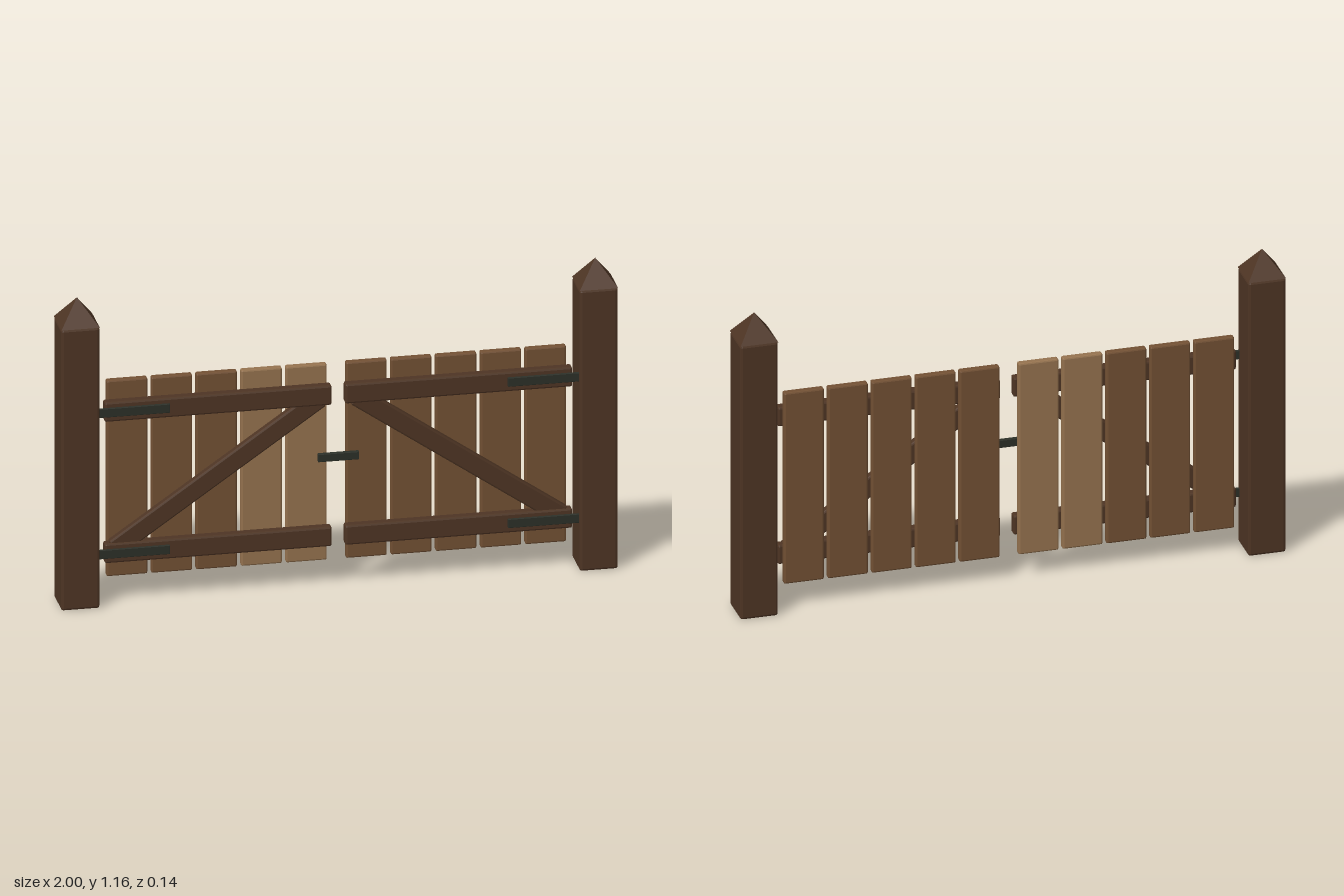
import * as THREE from 'three';
import { RoundedBoxGeometry } from 'three/addons/geometries/RoundedBoxGeometry.js';

function material(name, color) {
  const m = new THREE.MeshStandardMaterial({ color });
  m.name = name;
  return m;
}

export function createModel() {
  const darkWood = material('dark wood', 0x4e3524);
  const plankWood = material('plank wood', 0x735134);
  const paleWood = material('pale wood', 0x96734f);
  const iron = material('black iron', 0x2c3028);

  // Box with narrow flat chamfers, centred on (x, y, z)
  function block(name, mat, size, pos, chamfer) {
    const geo = new RoundedBoxGeometry(...size, 1, chamfer);
    geo.computeVertexNormals();
    const mesh = new THREE.Mesh(geo, mat);
    mesh.name = name;
    mesh.position.set(...pos);
    return mesh;
  }

  const model = new THREE.Group();
  model.name = 'doubleGate';

  for (const side of [-1, 1]) {
    const label = side > 0 ? 'left' : 'right';

    // Post with pyramid cap
    const post = new THREE.Group();
    post.name = label + 'Post';
    post.position.x = side * 0.931;
    post.add(block('postShaft', darkWood, [0.138, 1.07, 0.138], [0, 0.535, 0], 0.009));
    const capGeo = new THREE.ConeGeometry(0.069 * Math.SQRT2, 0.094, 4).toNonIndexed();
    capGeo.rotateY(Math.PI / 4);
    capGeo.computeVertexNormals();
    const cap = new THREE.Mesh(capGeo, darkWood);
    cap.name = 'postCap';
    cap.position.y = 1.116;
    post.add(cap);
    model.add(post);

    const leaf = new THREE.Group();
    leaf.name = label + 'Leaf';

    // Upright planks, two of them replaced with paler wood
    for (let i = 0; i < 5; i++) {
      const mat = side < 0 && i < 2 ? paleWood : plankWood;
      leaf.add(block('plank', mat, [0.147, 0.746, 0.028], [side * (0.108 + i * 0.161), 0.467, -0.004], 0.006));
    }

    // Rails and strap hinges
    for (const y of [0.197, 0.735]) {
      leaf.add(block('rail', darkWood, [0.816, 0.075, 0.038], [side * 0.432, y, 0.029], 0.007));
      leaf.add(block('hinge', iron, [0.268, 0.034, 0.01], [side * 0.741, y + 0.001, 0.051], 0.002));
    }

    // Diagonal brace falling from the middle to the post
    const brace = block('brace', darkWood, [0.9, 0.07, 0.032], [side * 0.434, 0.465, 0.026], 0.006);
    brace.rotation.z = -side * 0.606;
    leaf.add(brace);
    model.add(leaf);
  }

  // Latch bar bridging the two leaves
  model.add(block('latch', iron, [0.147, 0.03, 0.016], [-0.002, 0.504, 0.053], 0.002));
  return model;
}
